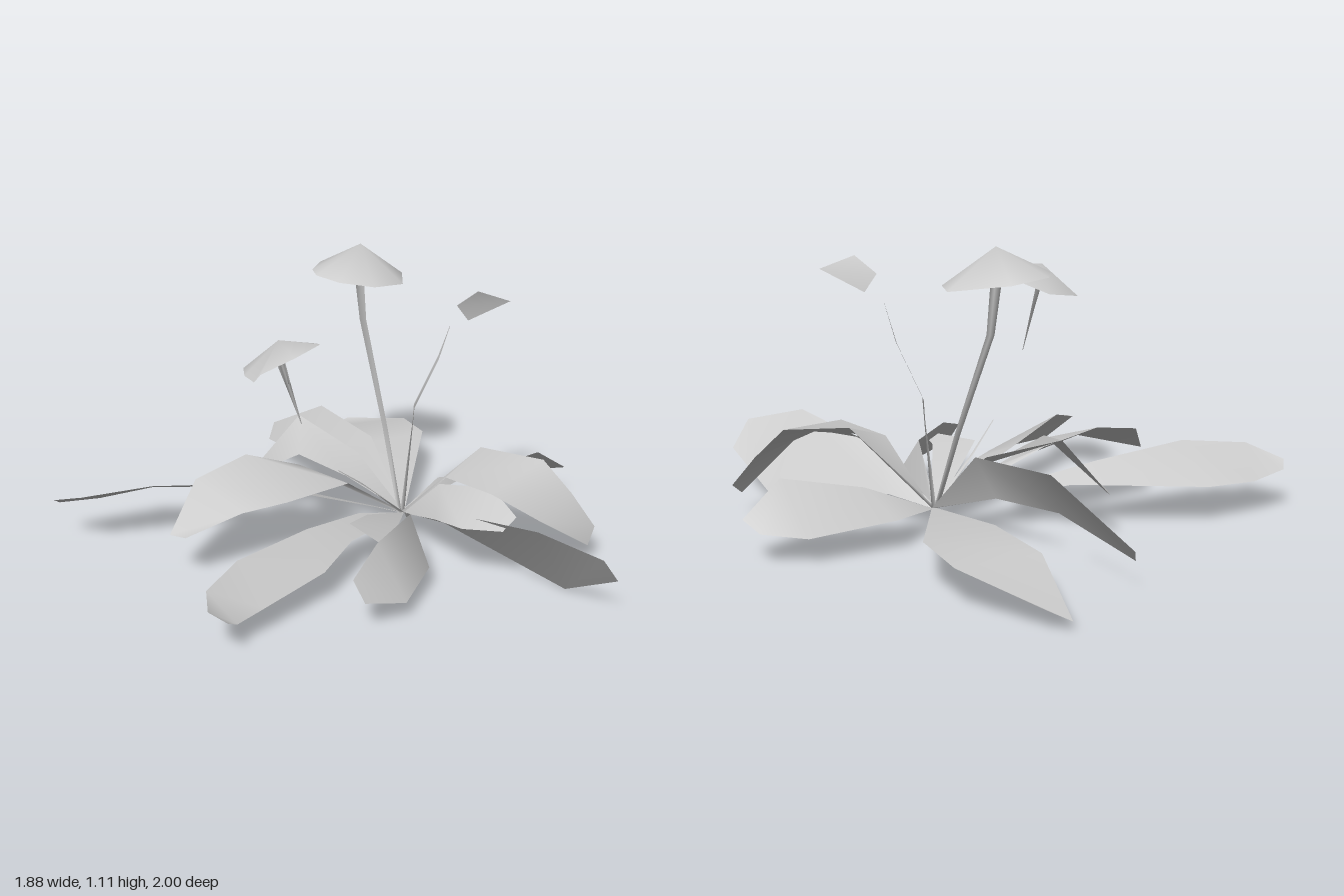
import * as THREE from 'three';

const grey = new THREE.MeshStandardMaterial({ color: 0xcccccc, side: THREE.DoubleSide });
grey.name = 'pale grey';
const ROOT = [0.24, 0.08, -0.05];

function mesh(name, points, index) {
  const geo = new THREE.BufferGeometry();
  geo.setAttribute('position', new THREE.Float32BufferAttribute(points.flat(), 3));
  geo.setIndex(index);
  geo.computeVertexNormals();
  const m = new THREE.Mesh(geo, grey);
  m.name = name;
  return m;
}

// Blade spanned between two edges that both run from the root to the tip
function leaf(name, edgeA, edgeB) {
  const a = [ROOT, ...edgeA], b = [[ROOT[0] + 0.012, ROOT[1], ROOT[2] + 0.012], ...edgeB];
  const points = [], index = [];
  a.forEach((p, i) => {
    points.push(p, b[i]);
    if (i) {
      const k = i * 2;
      index.push(k - 2, k - 1, k, k - 1, k + 1, k);
    }
  });
  return mesh(name, points, index);
}

// Three-sided stalk through centre points, with a half width at each
function stem(name, path, widths, depth = 1) {
  const points = [], index = [];
  path.forEach(([x, y, z], i) => {
    for (let s = 0; s < 3; s++) {
      const t = s * Math.PI * 2 / 3 + Math.PI / 2;
      points.push([x + widths[i] * Math.cos(t), y, z + widths[i] * depth * Math.sin(t)]);
      if (i) {
        const k = (i - 1) * 3, n = (s + 1) % 3;
        index.push(k + s, k + 3 + s, k + n, k + n, k + 3 + s, k + 3 + n);
      }
    }
  });
  return mesh(name, points, index);
}

// Shallow cap: a fan from the apex to the rim
function cap(name, apex, rim) {
  const index = [];
  rim.forEach((_, i) => index.push(0, 1 + (i + 1) % rim.length, 1 + i));
  return mesh(name, [apex, ...rim], index);
}

export function createModel() {
  const plant = new THREE.Group();
  plant.name = 'floweringPlant';

  // Rear leaves
  plant.add(
    leaf('rearRightLongLeaf',
      [[-0.06, 0.17, -0.46], [-0.4, 0.15, -0.86], [-0.6, 0.14, -0.95], [-0.76, 0.16, -1]],
      [[-0.22, 0.23, -0.47], [-0.55, 0.27, -0.66], [-0.77, 0.24, -0.83], [-0.8, 0.19, -0.98]]),
    leaf('rearDroopingLeaf',
      [[0.2, 0.3, -0.25], [0.15, 0.4, -0.545], [0, 0.18, -0.66]],
      [[0.08, 0.25, -0.2], [-0.05, 0.345, -0.34], [-0.06, 0.18, -0.61]]),
    leaf('rearNarrowLeaf',
      [[0.25, 0.17, -0.33], [0.235, 0.16, -0.59], [0.36, 0.1, -0.97]],
      [[0.31, 0.33, -0.28], [0.385, 0.345, -0.65], [0.42, 0.155, -1]]),
    leaf('rearLeftLeaf',
      [[0.5, 0.17, -0.5], [0.575, 0.14, -0.74], [0.78, 0.03, -0.99]],
      [[0.785, 0.17, -0.41], [0.88, 0.15, -0.61], [0.84, 0.07, -0.94]]));

  // Side leaves
  plant.add(
    leaf('rightSideHighLeaf',
      [[-0.05, 0.3, -0.34], [-0.22, 0.36, -0.47], [-0.45, 0.315, -0.51], [-0.66, 0.18, -0.42]],
      [[0.08, 0.22, -0.19], [-0.27, 0.26, -0.18], [-0.44, 0.25, -0.25], [-0.65, 0.19, -0.34]]),
    leaf('rightSideLowLeaf',
      [[0, 0.16, -0.055], [-0.3, 0.205, -0.04], [-0.7, 0.245, 0.015], [-0.87, 0.2, 0.04], [-0.94, 0.18, 0.13]],
      [[-0.18, 0.15, 0.08], [-0.4, 0.13, 0.155], [-0.7, 0.105, 0.155], [-0.83, 0.095, 0.155], [-0.91, 0.15, 0.2]]),
    leaf('leftSideLeaf',
      [[0.54, 0.12, -0.105], [0.835, 0.1, 0.05], [0.94, 0.12, 0.18]],
      [[0.5, 0.2, 0.08], [0.77, 0.27, 0.245], [0.935, 0.155, 0.27]]),
    leaf('needleLeaf',
      [[0.06, 0.26, -0.095], [-0.08, 0.365, -0.09]],
      [[0.06, 0.25, -0.078], [-0.08, 0.36, -0.083]]));

  // Front leaves
  plant.add(
    leaf('smallFrontLeaf',
      [[-0.03, 0.19, 0.02], [-0.19, 0.23, 0.08], [-0.22, 0.22, 0.29]],
      [[0.03, 0.16, 0.13], [-0.13, 0.2, 0.25], [-0.17, 0.2, 0.3]]),
    leaf('frontRightLeaf',
      [[0, 0.25, 0.22], [-0.27, 0.255, 0.3], [-0.46, 0.2, 0.36]],
      [[-0.04, 0.085, 0.355], [-0.28, 0.07, 0.455], [-0.45, 0.12, 0.41]]),
    leaf('frontLongLeaf',
      [[0.14, 0.23, 0.3], [0.1, 0.32, 0.75], [0.18, 0.26, 0.985]],
      [[0.26, 0.1, 0.17], [0.305, 0, 0.74], [0.26, 0.15, 1]]),
    leaf('frontMiddleLeaf',
      [[0.12, 0.19, 0.24], [0.07, 0.23, 0.42], [0.125, 0.25, 0.57]],
      [[0.25, 0.27, 0.15], [0.27, 0.325, 0.4], [0.2, 0.285, 0.575]]),
    leaf('frontLeftLeaf',
      [[0.43, 0.39, 0.21], [0.54, 0.37, 0.44], [0.575, 0.25, 0.56], [0.6, 0.13, 0.66]],
      [[0.23, 0.32, 0.2], [0.2, 0.34, 0.45], [0.29, 0.25, 0.62], [0.53, 0.08, 0.68]]));

  // Flower stalks, the front one a flat ribbon
  plant.add(
    stem('tallStem', [ROOT, [0.31, 0.4, -0.2], [0.39, 0.8, -0.4], [0.4, 1.08, -0.44]], [0.01, 0.012, 0.016, 0.025]),
    leaf('frontStem',
      [[0.315, 0.52, -0.045], [0.385, 0.73, 0.02], [0.4, 0.87, 0.06]],
      [[0.345, 0.52, -0.075], [0.413, 0.73, -0.008], [0.406, 0.87, 0.054]]),
    stem('shortStem', [[-0.26, 0.61, -0.1], [-0.31, 0.78, -0.115], [-0.345, 0.91, -0.13]], [0.002, 0.015, 0.028], 0.05));

  // Flower heads
  const tallRim = [[0.2, -0.48], [0.24, -0.545], [0.35, -0.61], [0.49, -0.555], [0.575, -0.355],
    [0.46, -0.245], [0.315, -0.265], [0.22, -0.37]];
  plant.add(
    cap('tallFlower', [0.41, 1.11, -0.435], tallRim.map(([x, z]) => [x, 0.955 - 0.08 * (x - 0.3) - 0.1 * z, z])),
    cap('shortFlower', [-0.33, 0.95, -0.14], [[-0.49, 0.84, -0.1], [-0.46, 0.835, -0.185], [-0.39, 0.825, -0.27],
      [-0.25, 0.845, -0.23], [-0.17, 0.905, -0.105], [-0.25, 0.945, -0.005], [-0.385, 0.93, 0.005], [-0.485, 0.875, -0.07]]),
    mesh('frontPetal', [[0.385, 0.97, 0.105], [0.42, 1.035, 0.18], [0.52, 0.99, 0.26], [0.425, 0.905, 0.13]],
      [0, 2, 1, 0, 3, 2]));
  return plant;
}
